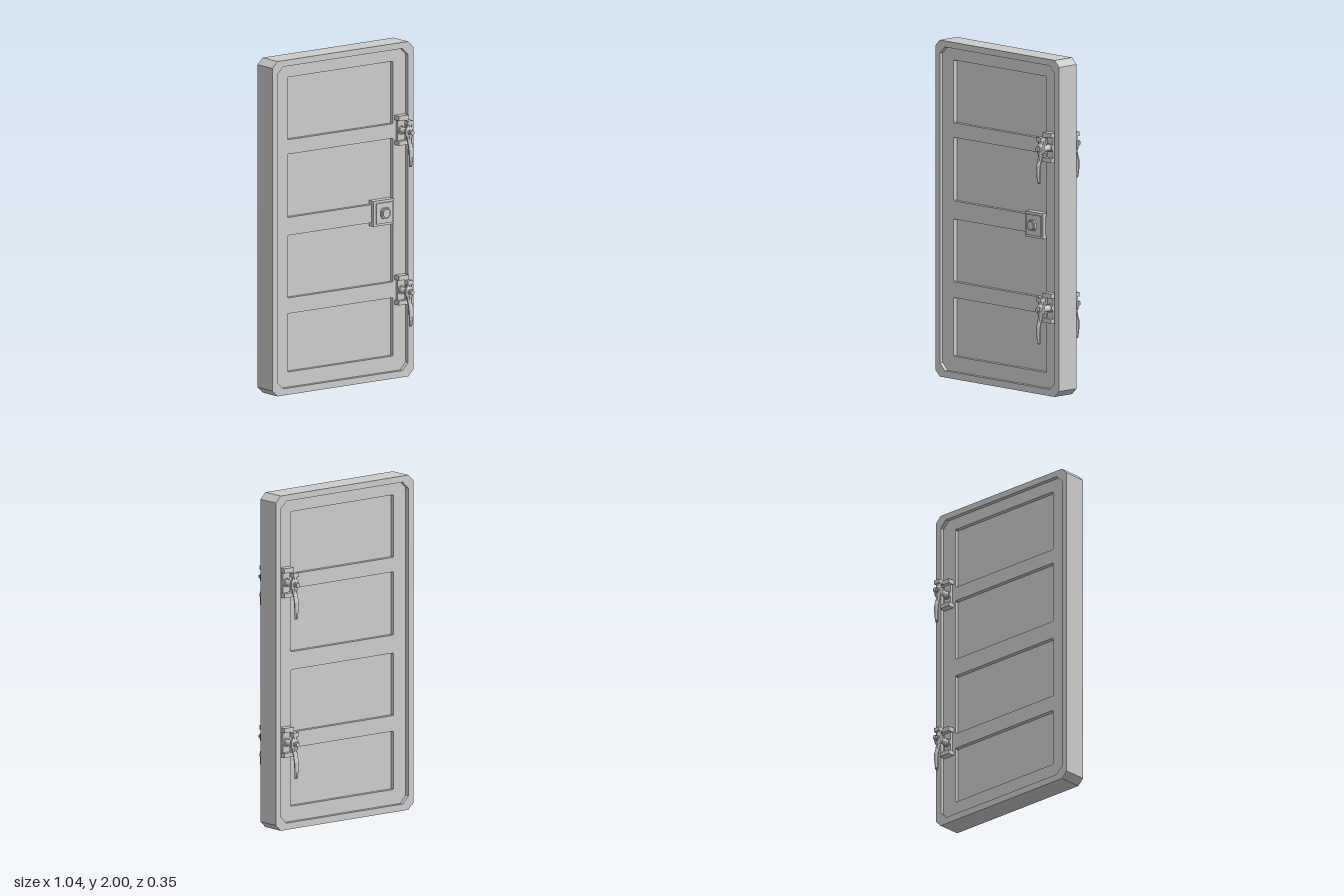
import * as THREE from 'three';

const material = new THREE.MeshStandardMaterial({ color: 0xcccccc, flatShading: true });

function part(name, geometry, x = 0, y = 0, z = 0) {
  const mesh = new THREE.Mesh(geometry, material);
  mesh.name = name;
  mesh.position.set(x, y, z);
  return mesh;
}

// Box given by its limits on each axis
function block(name, [x0, x1], [y0, y1], [z0, z1]) {
  return part(name, new THREE.BoxGeometry(x1 - x0, y1 - y0, z1 - z0),
    (x0 + x1) / 2, (y0 + y1) / 2, (z0 + z1) / 2);
}

// Rectangle outline with cut corners
function outline(Type, x0, x1, y0, y1, c) {
  const points = [
    [x0 + c, y0], [x1 - c, y0], [x1, y0 + c], [x1, y1 - c],
    [x1 - c, y1], [x0 + c, y1], [x0, y1 - c], [x0, y0 + c],
  ].map(([x, y]) => new THREE.Vector2(x, y));
  return new Type(points);
}

function extrude(name, shape, z0, z1) {
  const geometry = new THREE.ExtrudeGeometry(shape, { depth: z1 - z0, bevelEnabled: false });
  return part(name, geometry, 0, 0, z0);
}

// Cylinder along z
function rod(name, radius, y, z0, z1, sides = 16) {
  const geometry = new THREE.CylinderGeometry(radius, radius, z1 - z0, sides).rotateX(Math.PI / 2);
  return part(name, geometry, 0, y, (z0 + z1) / 2);
}

// Octagonal bar swept down through rows of [y, middle z, half width, half depth]
function leverGeometry(rows) {
  const n = rows.length - 1;
  const geometry = new THREE.CylinderGeometry(1, 1, 1, 8, n, false, Math.PI / 8);
  const p = geometry.attributes.position;
  const k = 1 / Math.cos(Math.PI / 8);
  for (let i = 0; i < p.count; i++) {
    const [y, z, w, d] = rows[Math.round((0.5 - p.getY(i)) * n)];
    p.setXYZ(i, p.getX(i) * w * k, y, z + p.getZ(i) * d * k);
  }
  geometry.computeVertexNormals();
  return geometry;
}

// Latch facing +z, with its pivot at y = 0
function createLatch() {
  const latch = new THREE.Group();
  latch.name = 'latch';
  latch.add(
    block('latchBase', [-0.026, 0.026], [-0.075, 0.075], [0.04, 0.064]),
    block('upperLug', [-0.036, 0.036], [0.062, 0.09], [0.04, 0.09]),
    block('lowerLug', [-0.036, 0.036], [-0.086, -0.06], [0.04, 0.09]),
    rod('pivotCollar', 0.026, 0, 0.06, 0.074),
    rod('pivotShaft', 0.019, 0, 0.06, 0.162),
    rod('pivotNut', 0.014, 0, 0.16, 0.175, 6),
    block('leverHead', [-0.02, 0.02], [0.045, 0.07], [0.122, 0.156]),
    part('lever', leverGeometry([
      [0.062, 0.139, 0.017, 0.012],
      [0.03, 0.139, 0.017, 0.012],
      [0.018, 0.139, 0.026, 0.018],
      [-0.018, 0.139, 0.026, 0.018],
      [-0.04, 0.14, 0.016, 0.012],
      [-0.075, 0.15, 0.014, 0.009],
      [-0.1, 0.158, 0.016, 0.009],
      [-0.15, 0.159, 0.013, 0.009],
      [-0.195, 0.155, 0.01, 0.009],
      [-0.205, 0.154, 0.007, 0.006],
    ])),
  );
  return latch;
}

export function createModel() {
  const door = new THREE.Group();
  door.name = 'door';

  // Raised outer rim
  const rim = outline(THREE.Shape, -0.52, 0.52, 0, 2, 0.037);
  rim.holes.push(outline(THREE.Path, -0.482, 0.482, 0.04, 1.963, 0.042));
  door.add(extrude('rim', rim, -0.071, 0.071));

  // Rails and stiles around four recessed panels
  const slab = outline(THREE.Shape, -0.49, 0.49, 0.03, 1.97, 0.042);
  for (const [y0, y1] of [[0.13, 0.478], [0.572, 0.945], [1.053, 1.43], [1.517, 1.89]]) {
    slab.holes.push(outline(THREE.Path, -0.39, 0.388, y0, y1, 0.004));
  }
  door.add(extrude('railsAndStiles', slab, -0.047, 0.047));
  door.add(block('panels', [-0.42, 0.42], [0.1, 1.92], [-0.022, 0.022]));

  // Lock on the front only
  const lock = new THREE.Group();
  lock.name = 'lock';
  lock.add(
    block('lockPlate', [0.23, 0.38], [0.923, 1.075], [0.02, 0.067]),
    block('lockStep', [0.246, 0.368], [0.937, 1.06], [0.06, 0.076]),
    extrude('lockKnob', outline(THREE.Shape, 0.274, 0.335, 0.968, 1.03, 0.014), 0.07, 0.091),
    extrude('lockKnobCap', outline(THREE.Shape, 0.281, 0.328, 0.975, 1.023, 0.012), 0.09, 0.098),
  );
  door.add(lock);

  // Latches, two on each face
  for (const y of [0.522, 1.476]) {
    for (const side of [1, -1]) {
      const latch = createLatch();
      latch.position.set(0.436, y, 0);
      if (side < 0) latch.rotation.y = Math.PI;
      door.add(latch);
    }
  }
  return door;
}
